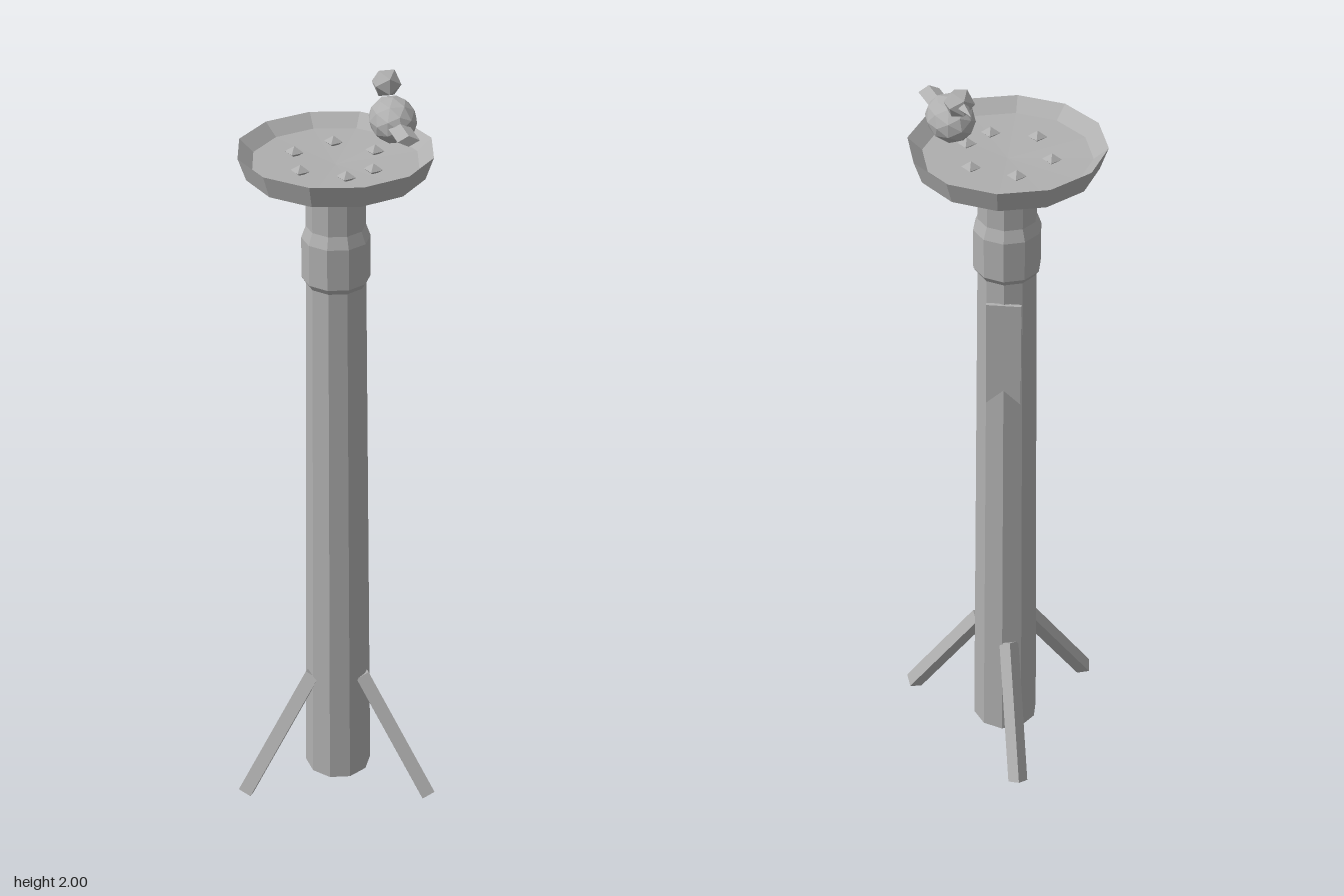
import * as THREE from 'three';

const grey = new THREE.MeshStandardMaterial({ color: 0xb0b0b0, flatShading: true });
grey.name = 'stone grey';

function add(parent, name, geometry, x = 0, y = 0, z = 0) {
  const mesh = new THREE.Mesh(geometry, grey);
  mesh.name = name;
  mesh.position.set(x, y, z);
  parent.add(mesh);
  return mesh;
}

const lathe = (points, sides) =>
  new THREE.LatheGeometry(points.map(([r, y]) => new THREE.Vector2(r, y)), sides);

export function createModel() {
  const model = new THREE.Group();
  model.name = 'birdTable';

  // Post, dish and legs share one slightly off-centre axis
  const stand = new THREE.Group();
  stand.name = 'stand';
  stand.position.set(-0.029, 0, 0.029);
  model.add(stand);

  // Ten-sided tapering post with a collar near the top
  add(stand, 'post', lathe([
    [0, 0.02], [0.089, 0.02], [0.073, 1.485], [0.083, 1.5],
    [0.083, 1.605], [0.072, 1.635], [0.072, 1.75],
  ], 10));

  // Shallow twelve-sided dish
  add(stand, 'dish', lathe([
    [0, 1.735], [0.07, 1.735], [0.215, 1.775], [0.234, 1.83], [0.2, 1.8], [0, 1.79],
  ], 12));

  // Seeds in a ring on the dish
  for (let i = 0; i < 6; i++) {
    const a = THREE.MathUtils.degToRad(62 + i * 63.6);
    const seed = add(stand, 'seed', new THREE.OctahedronGeometry(0.023),
      0.106 * Math.cos(a), 1.803, 0.106 * Math.sin(a));
    seed.scale.y = 0.65;
  }

  // Three square struts, corner edge facing up
  const top = new THREE.Vector3(0.075, 0.336, 0);
  const foot = new THREE.Vector3(0.284, 0.0145, 0);
  for (const degrees of [17, 137, 257]) {
    const leg = new THREE.Group();
    leg.name = 'leg';
    leg.rotation.y = -THREE.MathUtils.degToRad(degrees);
    stand.add(leg);
    const strut = add(leg, 'strut', new THREE.CylinderGeometry(0.026, 0.026, top.distanceTo(foot), 4));
    strut.position.copy(top).add(foot).multiplyScalar(0.5);
    strut.rotation.z = Math.atan2(foot.x - top.x, top.y - foot.y);
  }

  // Swallow-tailed plate on the back of the post
  const outline = new THREE.Shape([
    [-0.043, 1.43], [-0.043, 1.14], [0, 1.18], [0.043, 1.14], [0.043, 1.43],
  ].map(([x, y]) => new THREE.Vector2(x, y)));
  add(stand, 'pennant', new THREE.ExtrudeGeometry(outline, { depth: 0.01, bevelEnabled: false }),
    0, 0, -0.079);

  // Bird, facing local -z
  const bird = new THREE.Group();
  bird.name = 'bird';
  bird.position.set(0.1, 1.903, 0);
  bird.rotation.y = 0.49;
  model.add(bird);
  add(bird, 'body', new THREE.IcosahedronGeometry(1, 1)).scale.set(0.056, 0.053, 0.073);
  add(bird, 'head', new THREE.IcosahedronGeometry(0.036, 0), 0, 0.067, -0.059);
  const beak = add(bird, 'beak', new THREE.ConeGeometry(0.013, 0.046, 4), 0, 0.068, -0.109);
  beak.rotation.x = -Math.PI / 2;
  const tail = add(bird, 'tail', new THREE.CylinderGeometry(0.026, 0.026, 0.1, 4), 0, 0.002, 0.09);
  tail.rotation.x = Math.PI / 2;
  tail.scale.z = 0.5;

  return model;
}
